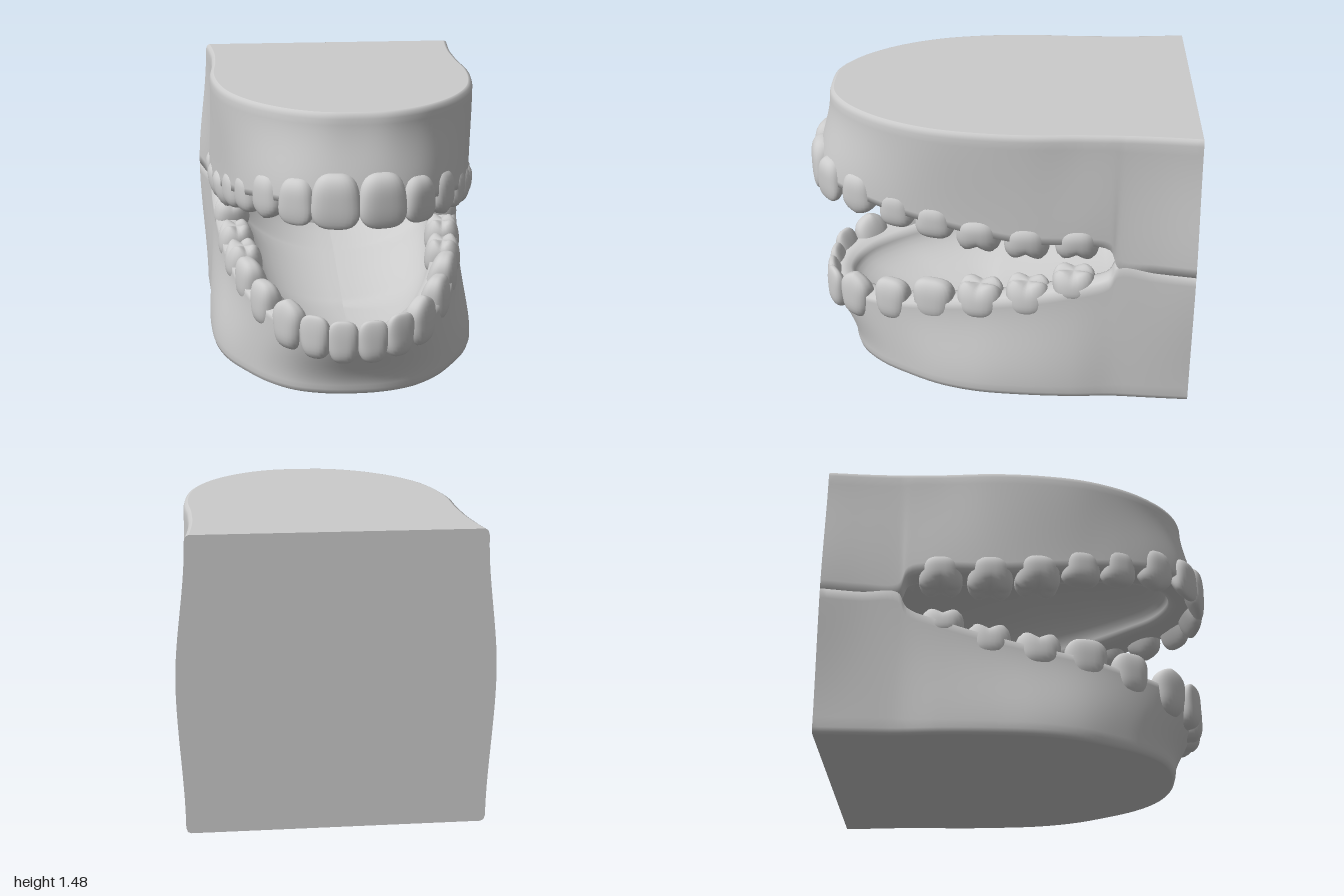
import * as THREE from 'three';
import { mergeVertices } from 'three/addons/utils/BufferGeometryUtils.js';

const gumMat = new THREE.MeshStandardMaterial({ color: 0xcccccc, side: THREE.DoubleSide });
const toothMat = new THREE.MeshStandardMaterial({ color: 0xcccccc });

// Arch curve through half a row of [x, z] stations, front to back, mirrored to a full U
function arch(stations, heights) {
  const half = stations.map(([x, z], i) => new THREE.Vector3(x, heights[i] ?? heights[0], z));
  const mirrored = half.slice(1).reverse().map(p => new THREE.Vector3(-p.x, p.y, p.z));
  return new THREE.CatmullRomCurve3([...mirrored, ...half], false, 'centripetal');
}

// Surface through a grid of points
function loft(rows, flip) {
  const pos = [], idx = [], n = rows[0].length;
  rows.forEach(r => r.forEach(p => pos.push(p.x, p.y, p.z)));
  for (let i = 0; i < rows.length - 1; i++) {
    for (let j = 0; j < n - 1; j++) {
      const a = i * n + j, b = a + 1, c = a + n, d = c + 1;
      if (flip) idx.push(a, c, b, b, c, d);
      else idx.push(a, b, c, b, d, c);
    }
  }
  const g = new THREE.BufferGeometry();
  g.setAttribute('position', new THREE.Float32BufferAttribute(pos, 3));
  g.setIndex(idx);
  g.computeVertexNormals();
  return g;
}

// Plan outlines
const topPlan = [[0, .88], [.16, .865], [.31, .79], [.44, .67], [.54, .53], [.63, .33], [.68, .1],
  [.7, -.15], [.69, -.4], [.69, -.57], [.69, -.63], [.70, -.8], [.72, -1]];
const upperPlan = [[0, .955], [.18, .93], [.33, .86], [.46, .72], [.555, .54], [.62, .33], [.67, .1],
  [.705, -.15], [.715, -.4], [.71, -.57], [.71, -.62], [.735, -.8], [.775, -1]];
const lowerPlan = [[0, .915], [.16, .895], [.29, .83], [.385, .73], [.485, .56], [.565, .35], [.62, .1],
  [.66, -.15], [.69, -.4], [.705, -.57], [.71, -.62], [.735, -.8], [.775, -1]];
const bottomPlan = [[0, .80], [.16, .785], [.31, .73], [.44, .62], [.54, .48], [.64, .3], [.70, .1],
  [.725, -.15], [.73, -.4], [.72, -.57], [.72, -.63], [.73, -.8], [.74, -1]];
const innerPlan = [[0, .81], [.11, .785], [.2, .72], [.29, .6], [.36, .45], [.43, .27], [.48, .08],
  [.51, -.15], [.54, -.4], [.58, -.57], [.6, -.62], [.55, -.8], [.47, -1]];
const upperCrest = [1.05, 1.05, 1.04, 1.03, 1.0, .965, .93, .9, .9, .875, .77, .76, .76];
const lowerCrest = [.36, .365, .38, .395, .42, .46, .5, .55, .62, .685, .77, .76, .76];

// One jaw: flat cap, rounded rim, outer wall, gum crest, then the vault of the mouth
function jaw(name, capY, capPlan, gumPlan, crest, vaultFront, vaultBack) {
  const dir = capY > .7 ? 1 : -1;
  const rim = arch(capPlan, [capY]), gum = arch(gumPlan, crest), inner = arch(innerPlan, crest);
  const rows = [], N = 144;
  for (let i = 0; i <= N; i++) {
    const t = i / N, R = rim.getPoint(t), G = gum.getPoint(t), I = inner.getPoint(t);
    const spine = z => (z > 0 ? z * .25 : z);
    const row = [new THREE.Vector3(0, capY, spine(R.z))];
    const C = row[0];
    // rounded rim
    for (const [inset, drop] of [[.035, 0], [.03, 0], [.01, .008], [0, .03]]) {
      const p = R.clone().lerp(C, inset);
      p.y = capY - dir * drop;
      row.push(p);
    }
    // outer wall
    const y0 = capY - dir * .03;
    for (let k = 1; k <= 14; k++) {
      const s = k / 14, e = s * s * (3 - 2 * s);
      const p = R.clone().lerp(G, e);
      p.y = y0 + (G.y - y0) * s;
      row.push(p);
    }
    // rounded crest, flattening where the two jaws join
    const join = Math.min(1, Math.abs(2 * crest[10] - 2 * G.y) * 6);
    for (let k = 1; k <= 6; k++) {
      const s = k / 6, p = G.clone().lerp(I, s);
      p.y -= dir * .02 * join * Math.sin(Math.PI * s);
      row.push(p);
    }
    // vault
    const f = THREE.MathUtils.smoothstep(I.z, -1, .3);
    const vy = vaultBack + (vaultFront - vaultBack) * f;
    const V = new THREE.Vector3(0, vy, spine(I.z));
    for (let k = 1; k <= 12; k++) {
      const a = k / 12 * Math.PI / 2;
      const p = I.clone().lerp(V, 1 - Math.cos(a));
      p.y = I.y + (vy - I.y) * Math.sin(a);
      row.push(p);
    }
    row.forEach(p => { if (i === 0 || i === N) p.z = -1; });
    rows.push(row);
  }
  const group = new THREE.Group();
  group.name = name;
  const shell = new THREE.Mesh(loft(rows, dir < 0), gumMat);
  shell.name = name + 'Gum';
  // flat back wall between the two ends of the arch
  const back = new THREE.Mesh(loft([rows[N].slice(1, 19), rows[0].slice(1, 19)], dir < 0), gumMat);
  back.name = name + 'BackWall';
  group.add(shell, back);
  return group;
}

// Tooth crown standing on its root; its outer face lies near local z = 0
function toothGeometry(w, h, d, type) {
  const src = new THREE.SphereGeometry(1, 28, 20);
  src.deleteAttribute('uv');
  src.deleteAttribute('normal');
  const g = mergeVertices(src, 1e-4), P = g.attributes.position;
  const n = type === 'molar' ? 2.7 : 2.9;
  for (let i = 0; i < P.count; i++) {
    let x = P.getX(i), y = P.getY(i), z = P.getZ(i);
    const k = (Math.abs(x) ** n + Math.abs(y) ** n + Math.abs(z) ** n) ** (-1 / n);
    x *= k; y *= k; z *= k;
    const up = (y + 1) / 2;
    let px = x * w / 2 * (.86 + .16 * up), py = up * h, pz;
    if (type === 'molar') {
      // four cusps around a central groove, sides drawn in towards the top
      py += h * .2 * up ** 4 * (Math.min(1, Math.abs(x * z) * 3.2) - .5);
      pz = -d / 2 + z * d / 2 * (1.02 - .2 * up * up);
    } else {
      // wedge thinning to the biting edge; canines come to a blunt point
      const thin = type === 'incisor' ? .62 : .4;
      pz = -d / 2 + z * d / 2 * (1 - thin * up) + d / 2 * thin * .95 * up;
      if (type === 'canine') py -= h * .12 * up ** 3 * Math.abs(x);
    }
    P.setXYZ(i, px, py, pz);
  }
  g.computeVertexNormals();
  return g;
}

// Each tooth: outer face x, z, width, gum-line y, tip y, depth, type
const upperTeeth = [
  [.123, .99, .25, 1.185, .93, .17, 'incisor'], [.325, .905, .2, 1.15, .935, .16, 'incisor'],
  [.475, .735, .2, 1.14, .92, .18, 'canine'], [.575, .525, .19, 1.085, .9, .19, 'premolar'],
  [.64, .325, .21, 1.05, .87, .2, 'premolar'], [.695, .1, .245, 1.005, .82, .22, 'molar'],
  [.725, -.15, .245, .985, .795, .22, 'molar'], [.735, -.405, .235, .98, .805, .21, 'molar']];
const lowerTeeth = [
  [.079, .95, .16, .23, .445, .14, 'incisor'], [.23, .915, .165, .25, .468, .14, 'incisor'],
  [.378, .79, .2, .26, .51, .17, 'canine'], [.5, .575, .2, .31, .54, .18, 'premolar'],
  [.58, .345, .23, .36, .585, .19, 'premolar'], [.64, .1, .25, .4, .6, .2, 'molar'],
  [.675, -.155, .24, .44, .635, .2, 'molar'], [.695, -.39, .23, .55, .71, .2, 'molar']];

function teeth(name, list) {
  const group = new THREE.Group();
  group.name = name;
  list.forEach(([x, z, w, gumY, tipY, d, type], i) => {
    const prev = i ? list[i - 1] : [-x, z], next = list[i + 1] ?? list[i];
    const yaw = Math.atan2(prev[1] - next[1], next[0] - prev[0]);
    const geo = toothGeometry(w, Math.abs(tipY - gumY) + .015, d, type);
    if (tipY < gumY) geo.rotateZ(Math.PI);
    for (const side of [1, -1]) {
      const m = new THREE.Mesh(geo, toothMat);
      m.name = `${type}${i + 1}${side > 0 ? 'Left' : 'Right'}`;
      m.position.set(side * x, gumY + Math.sign(gumY - tipY) * .015, z);
      m.rotation.y = side * yaw;
      group.add(m);
    }
  });
  return group;
}

export function createModel() {
  const model = new THREE.Group();
  model.name = 'dentalModel';
  model.add(
    jaw('upperJaw', 1.48, topPlan, upperPlan, upperCrest, 1.24, 1.04),
    jaw('lowerJaw', 0, bottomPlan, lowerPlan, lowerCrest, .2, .35),
    teeth('upperTeeth', upperTeeth),
    teeth('lowerTeeth', lowerTeeth));
  return model;
}
